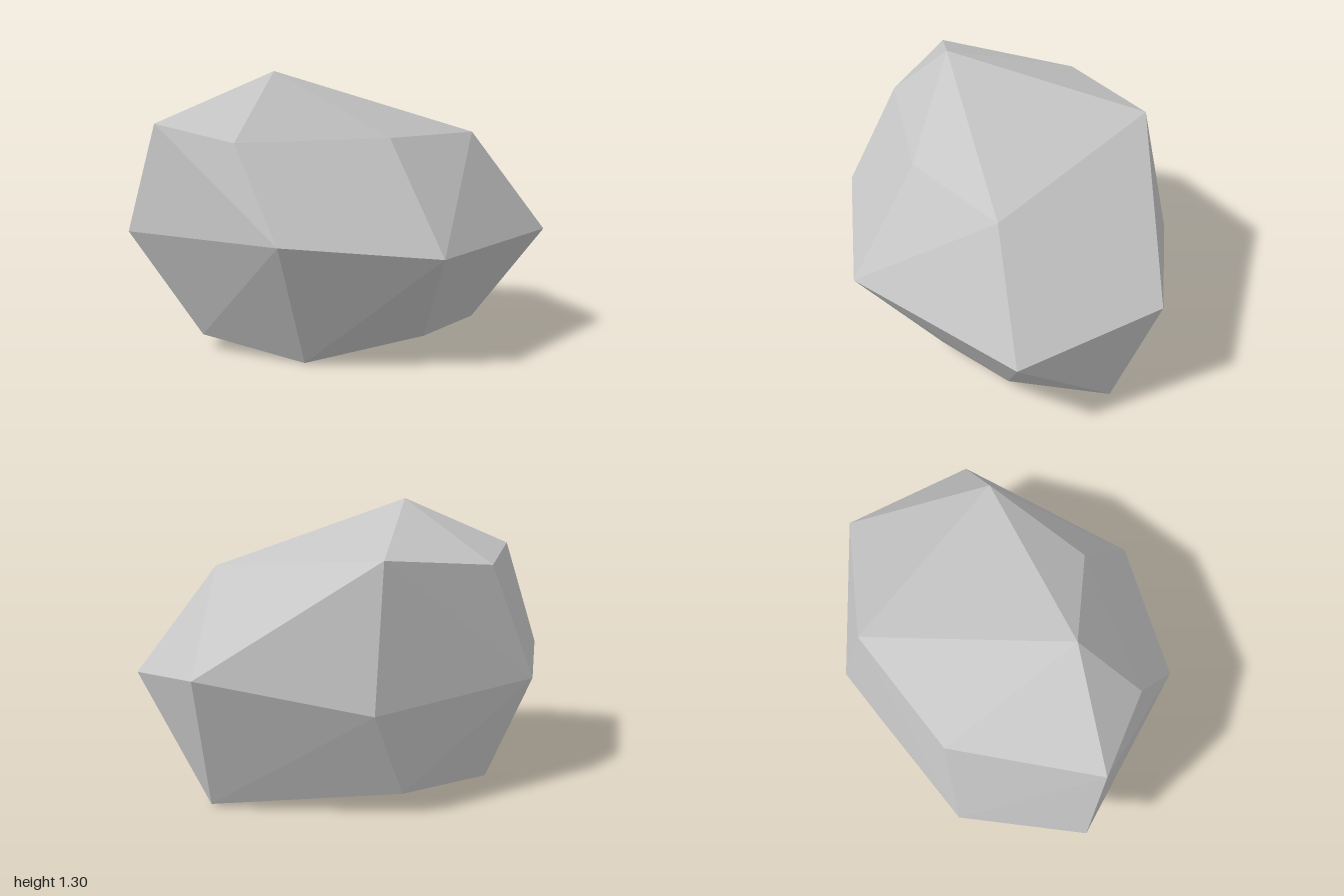
import * as THREE from 'three';
import { ConvexGeometry } from 'three/addons/geometries/ConvexGeometry.js';

// Corner points of the faceted boulder, from crown to base
const crown = [
  [-0.36, 1.305, 0.15], [0.15, 1.11, -0.665], [-0.89, 1.07, 0.03], [-0.46, 1.045, -0.535],
  [0.615, 1.01, 0.21], [0.09, 1.01, 0.445], [-0.605, 1.0, 0.365],
];
const waist = [
  [0.93, 0.62, -0.44], [-0.495, 0.58, 0.64], [-1, 0.565, -0.09], [1, 0.52, 0.25],
  [0.21, 0.51, 0.78], [-0.66, 0.51, -0.585], [0.245, 0.475, -0.78],
];
const base = [
  [0.08, 0.095, -0.715], [0.65, 0.085, 0.17], [-0.68, 0.07, 0.015], [0.29, 0.07, 0.39],
  [-0.43, 0.06, -0.56], [0.81, 0.012, -0.28], [-0.3, 0, 0.4],
];

export function createModel() {
  const group = new THREE.Group();
  group.name = 'boulder';

  const stoneGrey = new THREE.MeshStandardMaterial({ color: 0xc6c6c6 });
  stoneGrey.name = 'stone grey';

  // Single convex stone; the hull geometry already has one flat normal per facet
  const points = [...crown, ...waist, ...base].map((p) => new THREE.Vector3(...p));
  const rock = new THREE.Mesh(new ConvexGeometry(points), stoneGrey);
  rock.name = 'rock';
  group.add(rock);
  return group;
}
